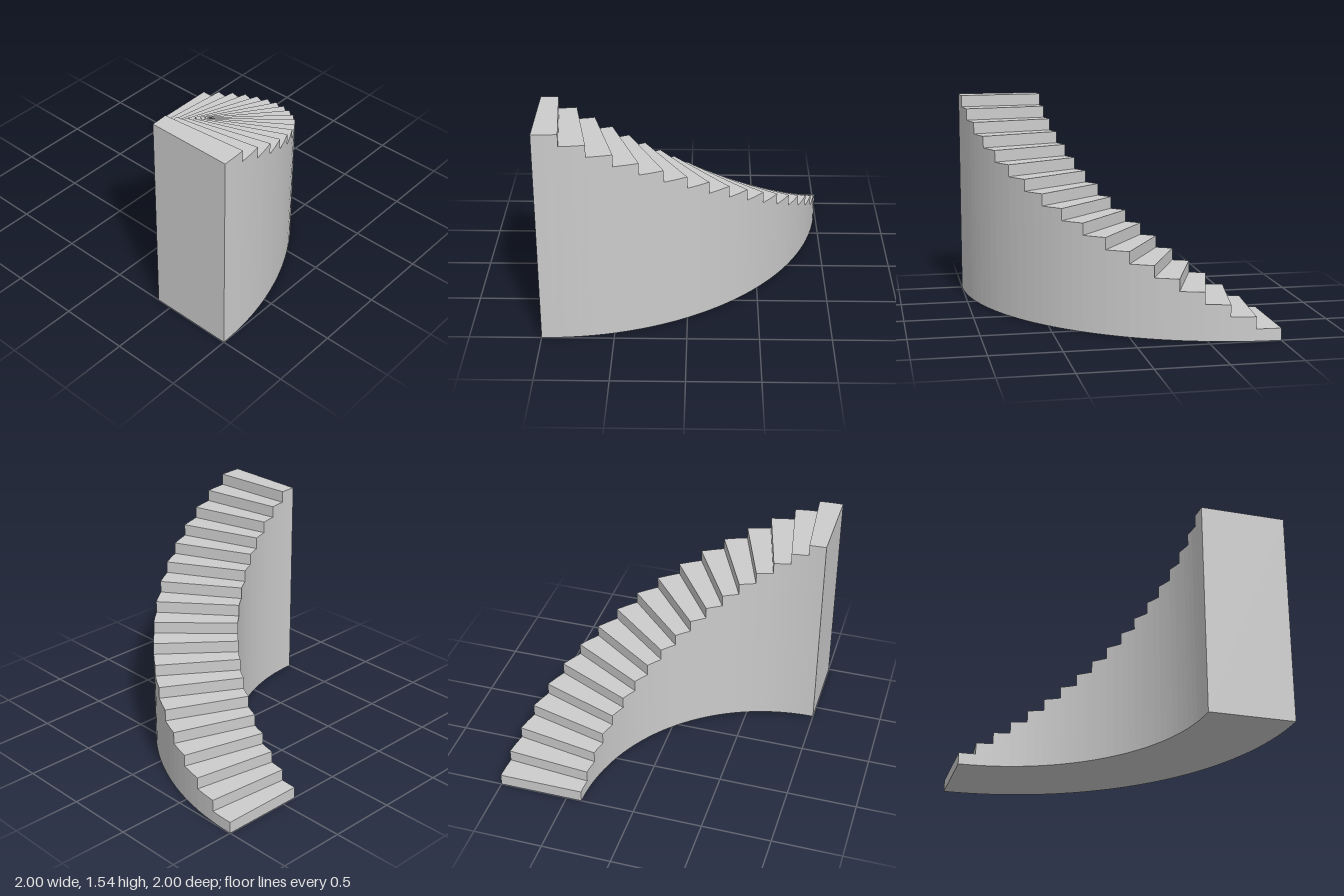
import * as THREE from 'three';

const STEPS = 18, SEGS = 2, HEIGHT = 1.54, R_IN = 1.388, R_OUT = 2;
const RISE = HEIGHT / STEPS, TURN = Math.PI / 2 / STEPS;

// Point on the quarter turn: angle 0 is the foot at the back, 90 degrees the head at the front
const at = (a, r, y) => [-1 + r * Math.sin(a), y, 1 - r * Math.cos(a)];

export function createModel() {
  const group = new THREE.Group();
  group.name = 'curvedStaircase';
  const stone = new THREE.MeshStandardMaterial({ color: 0xcccccc });
  stone.name = 'light grey';

  const parts = { treads: [], risers: [], outerWall: [], innerWall: [], underside: [], endWall: [] };
  const quad = (part, a, b, c, d) => parts[part].push(...a, ...b, ...c, ...a, ...c, ...d);

  for (let i = 0; i < STEPS; i++) {
    const start = i * TURN, y0 = i * RISE, y1 = y0 + RISE;

    // Vertical face in front of each tread
    quad('risers', at(start, R_OUT, y0), at(start, R_IN, y0), at(start, R_IN, y1), at(start, R_OUT, y1));

    // Curved walls, tread and underside in short facets
    for (let s = 0; s < SEGS; s++) {
      const a = start + (s / SEGS) * TURN, b = start + ((s + 1) / SEGS) * TURN;
      quad('treads', at(a, R_IN, y1), at(b, R_IN, y1), at(b, R_OUT, y1), at(a, R_OUT, y1));
      quad('underside', at(a, R_OUT, 0), at(b, R_OUT, 0), at(b, R_IN, 0), at(a, R_IN, 0));
      quad('outerWall', at(b, R_OUT, 0), at(a, R_OUT, 0), at(a, R_OUT, y1), at(b, R_OUT, y1));
      quad('innerWall', at(a, R_IN, 0), at(b, R_IN, 0), at(b, R_IN, y1), at(a, R_IN, y1));
    }
  }

  // Tall flat face under the top step
  const end = Math.PI / 2;
  quad('endWall', at(end, R_IN, 0), at(end, R_OUT, 0), at(end, R_OUT, HEIGHT), at(end, R_IN, HEIGHT));

  for (const [name, points] of Object.entries(parts)) {
    const geometry = new THREE.BufferGeometry();
    geometry.setAttribute('position', new THREE.Float32BufferAttribute(points, 3));
    geometry.computeVertexNormals();
    const mesh = new THREE.Mesh(geometry, stone);
    mesh.name = name;
    group.add(mesh);
  }
  return group;
}
